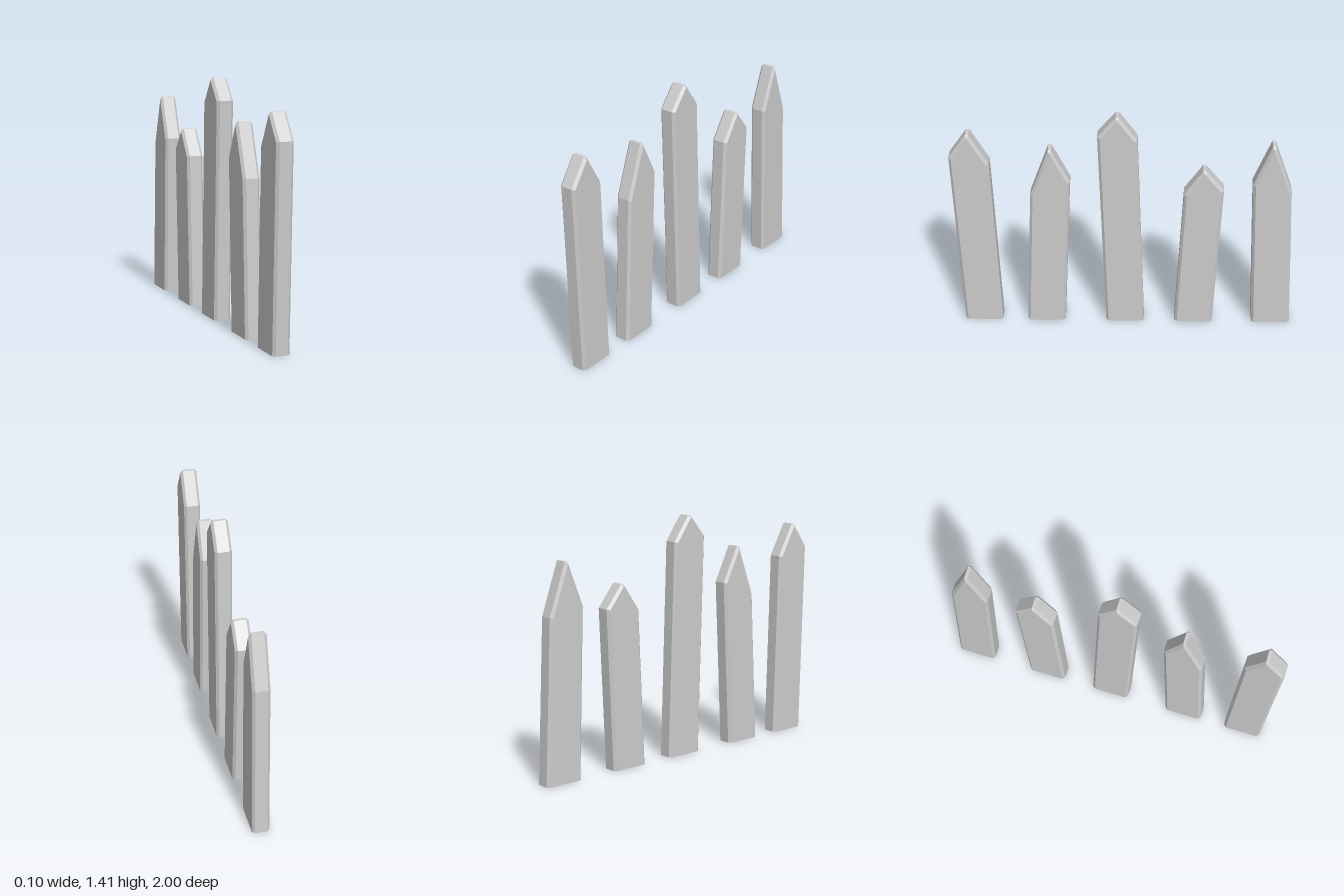
import * as THREE from 'three';

const HALF = 0.05;    // half thickness of a picket
const BEVEL = 0.015;  // chamfer along the sides and point
const TIP = 0.009;    // half width of the blunt tip

// Line through a and b ([z, y] points), moved to the inside by BEVEL
function insetLine(a, b) {
  const dz = b[0] - a[0], dy = b[1] - a[1], len = Math.hypot(dz, dy);
  const n = [-dy / len, dz / len];
  if (n[1] > 0) n[1] = -Math.abs(n[1]);
  return { p: [a[0] + (-dy / len) * BEVEL, a[1] + (dz / len) * -BEVEL * -1], d: [dz, dy] };
}

function meet(l, m) {
  const det = l.d[0] * m.d[1] - l.d[1] * m.d[0];
  const t = ((m.p[0] - l.p[0]) * m.d[1] - (m.p[1] - l.p[1]) * m.d[0]) / det;
  return [l.p[0] + l.d[0] * t, l.p[1] + l.d[1] * t];
}

// Outline order: foot at +z, shoulder, tip, shoulder, foot at -z
function picketGeometry([foot0, shoulder0, apex, shoulder1, foot1]) {
  const outer = [foot0, shoulder0, [apex[0] + TIP, apex[1]], [apex[0] - TIP, apex[1]], shoulder1, foot1];

  // Inset outline for the two broad faces; the foot stays on the ground
  const inward = (a, b) => {
    const dz = b[0] - a[0], dy = b[1] - a[1], k = BEVEL / Math.hypot(dz, dy);
    return { p: [a[0] - dy * k, a[1] + dz * k], d: [dz, dy] };
  };
  const ground = { p: [0, 0], d: [1, 0] };
  const lines = [ground, inward(outer[0], outer[1]), inward(outer[1], outer[2]),
    inward(outer[3], outer[4]), inward(outer[4], outer[5]), ground];
  const c = [0, 1, 2, 3, 4].map((i) => meet(lines[i], lines[i + 1]));
  const inner = [c[0], c[1], c[2], c[2], c[3], c[4]];

  const rings = [[-HALF, inner], [BEVEL - HALF, outer], [HALF - BEVEL, outer], [HALF, inner]]
    .map(([x, pts]) => pts.map(([z, y]) => [x, y, z]));
  const pos = [];
  const tri = (...corners) => corners.forEach((v) => pos.push(...v));

  // Edges, chamfers and underside
  for (let r = 0; r < 3; r++) {
    for (let j = 0; j < 6; j++) {
      const k = (j + 1) % 6, a = rings[r], b = rings[r + 1];
      tri(a[j], b[j], b[k]);
      tri(a[j], b[k], a[k]);
    }
  }
  // Broad faces
  for (let j = 1; j < 5; j++) {
    tri(rings[0][0], rings[0][j], rings[0][j + 1]);
    tri(rings[3][0], rings[3][j + 1], rings[3][j]);
  }
  const geo = new THREE.BufferGeometry();
  geo.setAttribute('position', new THREE.Float32BufferAttribute(pos, 3));
  geo.computeVertexNormals();
  return geo;
}

export function createModel() {
  const group = new THREE.Group();
  group.name = 'fencePickets';
  const paint = new THREE.MeshStandardMaterial({ color: 0xcccccc, flatShading: true });
  paint.name = 'light grey';

  // [z, y] outlines, each picket leaning and tapering differently
  const pickets = [
    [[0.967, 0], [1.0, 1.147], [0.888, 1.295], [0.773, 1.105], [0.74, 0]],
    [[0.588, 0], [0.545, 0.895], [0.426, 1.2], [0.314, 0.99], [0.36, 0]],
    [[0.112, 0], [0.155, 1.29], [0.041, 1.415], [-0.072, 1.27], [-0.117, 0]],
    [[-0.302, 0], [-0.342, 0.915], [-0.457, 1.07], [-0.57, 0.94], [-0.53, 0]],
    [[-0.767, 0], [-0.734, 0.98], [-0.843, 1.237], [-0.957, 0.94], [-1.0, 0]],
  ];
  pickets.forEach((outline, i) => {
    const mesh = new THREE.Mesh(picketGeometry(outline), paint);
    mesh.name = `picket${i + 1}`;
    group.add(mesh);
  });
  return group;
}
